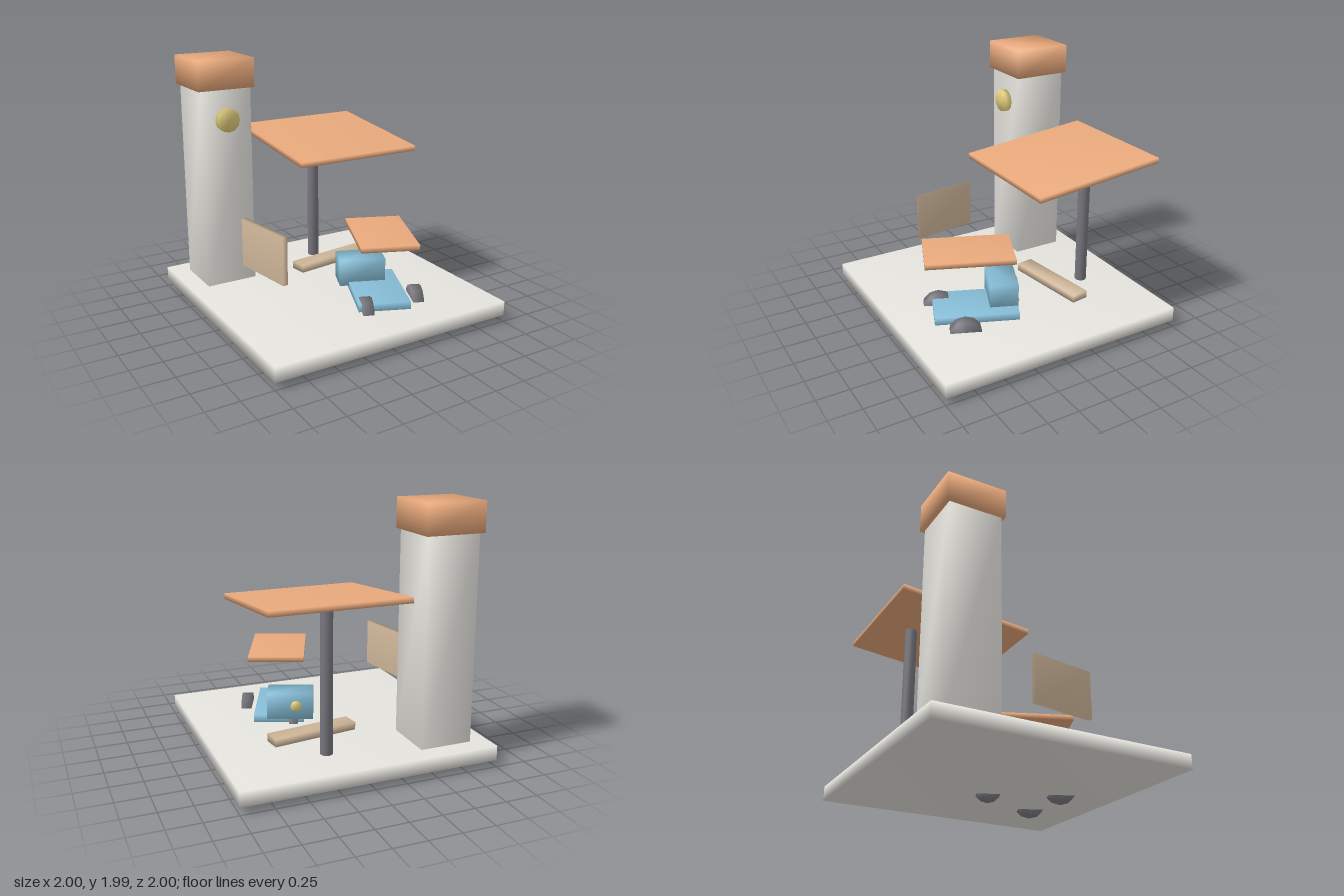
import * as THREE from 'three';
import { mergeVertices } from 'three/addons/utils/BufferGeometryUtils.js';

const material = (color) => new THREE.MeshStandardMaterial({ color });
const STONE = material(0xe6e4de);
const ORANGE = material(0xe9a97c);
const BLUE = material(0x86bdd6);
const DARK = material(0x77767d);
const TAN = material(0xcfb79a);
const YELLOW = material(0xe0cc7a);

// Weld corners so each part is softly shaded across its edges
function soften(geometry) {
  geometry.deleteAttribute('normal');
  geometry.deleteAttribute('uv');
  const welded = mergeVertices(geometry, 1e-4);
  welded.computeVertexNormals();
  return welded;
}

function place(parent, name, geometry, mat, position, turn = 0) {
  const mesh = new THREE.Mesh(soften(geometry), mat);
  mesh.name = name;
  mesh.position.set(...position);
  mesh.rotation.y = turn;
  parent.add(mesh);
  return mesh;
}

const box = (w, h, d) => new THREE.BoxGeometry(w, h, d);
const cylinder = (r, h) => new THREE.CylinderGeometry(r, r, h, 12);
const disc = (r, depth) => cylinder(r, depth).rotateX(Math.PI / 2);
// The wheel axle runs along x, with a corner at the lowest point
const wheel = (r, width) => cylinder(r, width).rotateZ(Math.PI / 2);

function createTower() {
  const tower = new THREE.Group();
  tower.name = 'tower';
  place(tower, 'towerShaft', box(0.415, 1.6, 0.415), STONE, [-0.647, 0.96, -0.645]);
  place(tower, 'towerCap', box(0.467, 0.23, 0.467), ORANGE, [-0.647, 1.875, -0.647]);
  place(tower, 'clockFace', disc(0.093, 0.05), YELLOW, [-0.65, 1.523, -0.412]);
  return tower;
}

function createShelter() {
  const shelter = new THREE.Group();
  shelter.name = 'shelter';
  place(shelter, 'shelterPole', cylinder(0.047, 1.13), DARK, [0.235, 0.73, -0.645]);
  const canopy = place(shelter, 'shelterCanopy', box(1.055, 0.042, 1.055), ORANGE, [0.233, 1.286, -0.412]);
  canopy.rotation.x = 0.1;
  place(shelter, 'bench', box(0.69, 0.06, 0.14), TAN, [0.233, 0.23, -0.352], 0.14);
  return shelter;
}

// Small three-wheeled cart, every part turned by the same angle
function createCart() {
  const cart = new THREE.Group();
  cart.name = 'cart';
  const turn = -0.39, x = 0.235;
  place(cart, 'cartChassis', box(0.4, 0.08, 0.65), BLUE, [x, 0.19, 0.36], turn);
  place(cart, 'cartCabin', box(0.368, 0.215, 0.222), BLUE, [x, 0.307, 0.122], turn);
  place(cart, 'cartRoof', box(0.44, 0.042, 0.677), ORANGE, [x, 0.687, 0.412], turn);
  place(cart, 'cartLamp', disc(0.043, 0.025), YELLOW, [x, 0.312, -0.008], turn);
  for (const side of [-1, 1]) {
    place(cart, side < 0 ? 'rightWheel' : 'leftWheel', wheel(0.13, 0.085), DARK, [x + side * 0.23, 0.13, 0.562], turn);
  }
  place(cart, 'singleWheel', wheel(0.105, 0.07), DARK, [x, 0.105, 0.05], turn);
  return cart;
}

export function createModel() {
  const model = new THREE.Group();
  model.name = 'plaza';
  place(model, 'basePlate', box(2, 0.115, 2), STONE, [0, 0.112, 0]);
  // Free-standing panel beside the tower
  place(model, 'signPanel', box(0.04, 0.375, 0.525), TAN, [-0.65, 0.638, 0.172], 0.15);
  model.add(createTower(), createShelter(), createCart());
  return model;
}
